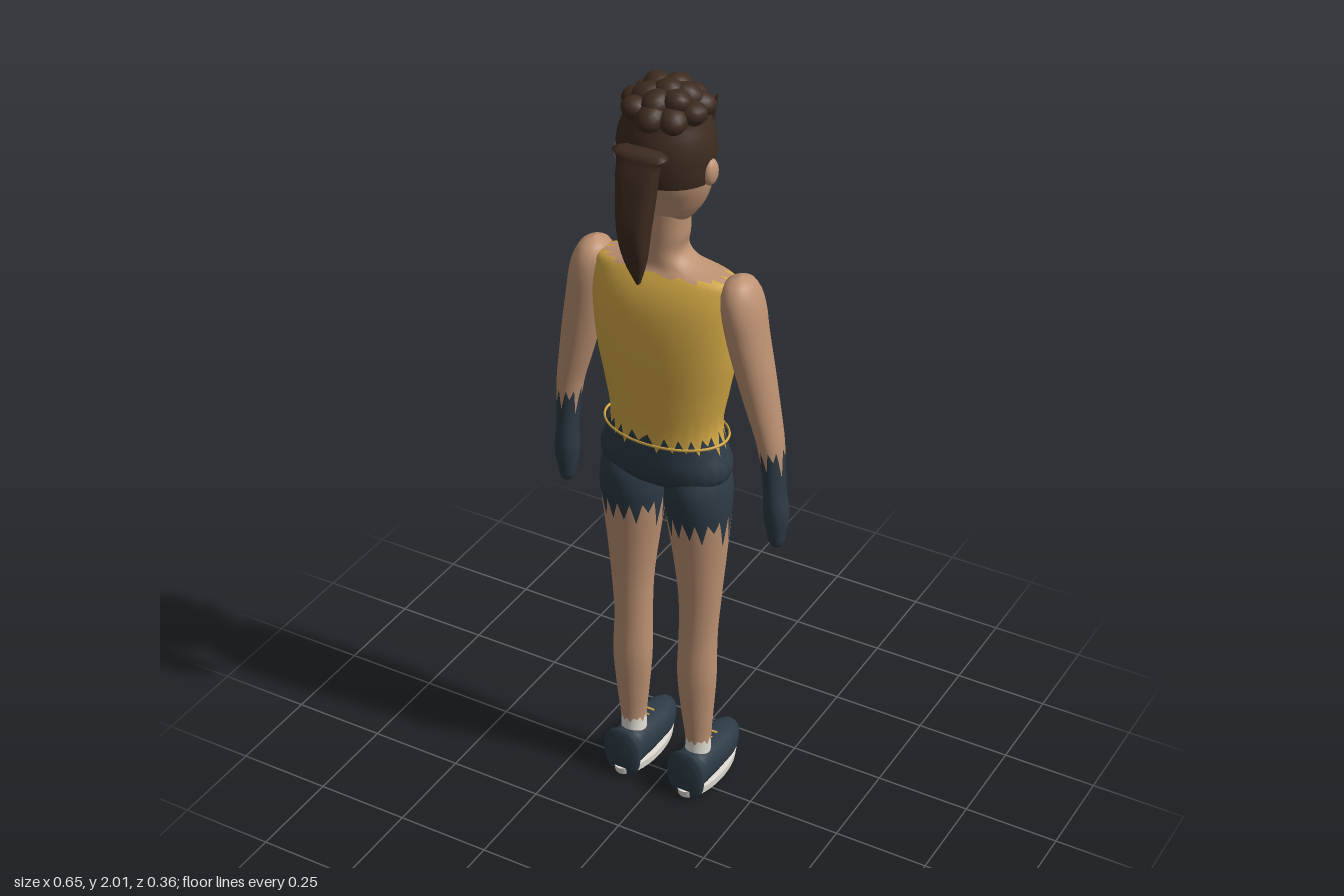
import * as THREE from 'three';

const mat = (name, color, side = THREE.FrontSide) => {
  const m = new THREE.MeshStandardMaterial({ color, side });
  m.name = name;
  return m;
};
const TAU = Math.PI * 2;

// Builds a smooth closed skin through sections [y, cx, cz, rx, rz], between two edges that vary with angle
function loft(sections, lo, hi, { n = 2, rows = 26, segs = 96 } = {}) {
  const curve = new THREE.CubicInterpolant(sections.map(s => s[0]), sections.flatMap(s => s.slice(1)), 4);
  const pos = [], index = [];
  const bend = v => Math.sign(v) * Math.abs(v) ** (2 / n);
  for (let j = 0; j <= rows; j++) {
    const t = 0.5 - 0.5 * Math.cos(Math.PI * j / rows);
    for (let i = 0; i < segs; i++) {
      const a = TAU * i / segs, y0 = lo(a), y = y0 + (hi(a) - y0) * t;
      const [cx, cz, rx, rz] = curve.evaluate(y);
      pos.push(cx + Math.max(rx, 0) * bend(Math.cos(a)), y, cz + Math.max(rz, 0) * bend(Math.sin(a)));
      if (j < rows) {
        const p = j * segs + i, q = j * segs + (i + 1) % segs;
        index.push(p, p + segs, q, q, p + segs, q + segs);
      }
    }
  }
  const g = new THREE.BufferGeometry();
  g.setAttribute('position', new THREE.Float32BufferAttribute(pos, 3));
  g.setIndex(index);
  g.computeVertexNormals();
  return g;
}
const at = y => () => y;

// Ragged edge: teeth of uneven depth around a height
const ragged = (y, teeth, depth) => a => {
  const t = a / TAU * teeth + 1e-6, k = Math.floor(t) % teeth;
  const h = Math.abs(Math.sin((k + 1) * 12.9898) * 43758.5453) % 1;
  return y - depth * (0.3 + 0.7 * h) * (1 - Math.abs(2 * (t - Math.floor(t)) - 1));
};

export function createModel() {
  const skin = mat('skin', 0xbe9273), yellow = mat('yellow cloth', 0xd3a845), navy = mat('navy cloth', 0x2d3a45);
  const brown = mat('brown hair', 0x3d2b20, THREE.DoubleSide), white = mat('white', 0xe4e0d8), black = mat('black', 0x15120f);
  const model = new THREE.Group();
  const add = (name, geo, material, p = [0, 0, 0], scale = [1, 1, 1], rot = [0, 0, 0]) => {
    const m = new THREE.Mesh(geo, material);
    m.name = name;
    m.position.set(...p);
    m.scale.set(...scale);
    m.rotation.set(...rot);
    model.add(m);
    return m;
  };

  // Trunk: shorts, shirt and neck share one form
  const trunk = [
    [0.925, 0, 0, 0, 0], [0.935, 0, 0, 0.09, 0.05], [0.96, 0, 0, 0.155, 0.085], [1.0, 0, 0, 0.173, 0.098],
    [1.05, 0, 0, 0.156, 0.096], [1.1, 0, 0, 0.143, 0.094], [1.2, 0, -0.002, 0.158, 0.102], [1.3, 0, 0, 0.178, 0.106],
    [1.4, 0, 0, 0.188, 0.105], [1.46, 0, 0, 0.19, 0.096], [1.5, 0, 0, 0.186, 0.081], [1.525, 0, 0, 0.172, 0.066],
    [1.538, 0, 0, 0.105, 0.058], [1.56, 0, 0, 0.06, 0.055], [1.62, 0, 0, 0.055, 0.054], [1.72, 0, 0, 0.06, 0.056],
  ];
  const waist = ragged(1.1, 24, 0.06), neckline = ragged(1.531, 16, 0.012);
  const round = { n: 2.3 };
  add('shortsHips', loft(trunk, at(0.925), waist, round), navy);
  add('shirt', loft(trunk, waist, neckline, round), yellow);
  add('neck', loft(trunk, neckline, at(1.72), round), skin);
  const belt = new THREE.TorusGeometry(1, 0.02, 8, 64).rotateX(Math.PI / 2);
  add('belt', belt, yellow, [0, 1.08, 0], [0.163, 0.2, 0.106]);

  for (const s of [1, -1]) {
    const side = s > 0 ? 'left' : 'right';
    const mirror = list => list.map(([y, cx, ...r]) => [y, s * cx, ...r]);

    // Arm and glove
    const arm = mirror([
      [0.805, 0.297, -0.018, 0, 0], [0.815, 0.297, -0.018, 0.013, 0.014], [0.85, 0.296, -0.018, 0.023, 0.026],
      [0.91, 0.295, -0.016, 0.031, 0.034], [0.97, 0.291, -0.014, 0.027, 0.034], [1.05, 0.285, -0.012, 0.029, 0.035],
      [1.12, 0.276, -0.01, 0.033, 0.041], [1.2, 0.258, -0.007, 0.04, 0.047], [1.3, 0.236, -0.003, 0.047, 0.054],
      [1.4, 0.215, 0, 0.05, 0.061], [1.47, 0.203, 0, 0.05, 0.064], [1.515, 0.196, 0, 0.041, 0.052],
      [1.538, 0.195, 0, 0.022, 0.028], [1.546, 0.195, 0, 0, 0],
    ]);
    const cuff = ragged(1.1, 10, 0.085);
    add(side + 'Glove', loft(arm, at(0.805), cuff), navy);
    add(side + 'Arm', loft(arm, cuff, at(1.546)), skin);

    // Leg, shorts leg and sock
    const leg = mirror([
      [0.08, 0.095, 0.004, 0.033, 0.036], [0.15, 0.096, 0.004, 0.033, 0.036], [0.24, 0.095, 0.008, 0.042, 0.041],
      [0.36, 0.094, 0.01, 0.052, 0.046], [0.48, 0.094, 0.005, 0.05, 0.046], [0.6, 0.097, 0.002, 0.055, 0.052],
      [0.72, 0.095, 0.001, 0.067, 0.064], [0.84, 0.092, 0.002, 0.08, 0.08], [0.9, 0.091, 0.002, 0.084, 0.089],
      [0.95, 0.091, 0, 0.08, 0.09], [0.99, 0.09, 0, 0.07, 0.075],
    ]);
    const hem = ragged(0.865, 16, 0.09), sockTop = ragged(0.158, 12, 0.02);
    add(side + 'Sock', loft(leg, at(0.08), sockTop), white);
    add(side + 'Leg', loft(leg, sockTop, hem), skin);
    add(side + 'ShortsLeg', loft(leg, hem, at(0.99)), navy);

    // Shoe, lofted from heel to toe and laid flat
    const shoe = loft([
      [-0.083, 0, 0.062, 0, 0], [-0.08, 0, 0.063, 0.028, 0.042], [-0.05, 0, 0.066, 0.046, 0.052],
      [0, 0, 0.064, 0.05, 0.055], [0.06, 0, 0.06, 0.052, 0.05], [0.12, 0, 0.055, 0.048, 0.046],
      [0.165, 0, 0.053, 0.03, 0.036], [0.177, 0, 0.052, 0.018, 0.024], [0.18, 0, 0.052, 0, 0],
    ], at(-0.083), at(0.18), { n: 2.3, segs: 40 }).rotateX(-Math.PI / 2);
    add(side + 'Shoe', shoe, navy, [s * 0.095, 0, 0]);
    add(side + 'Sole', new THREE.CylinderGeometry(1, 0.96, 0.022, 40), white, [s * 0.095, 0.011, -0.045], [0.054, 1, 0.132]);
    for (const z of [-0.05, -0.075]) {
      add(side + 'Lace', new THREE.BoxGeometry(0.026, 0.005, 0.006), yellow, [s * 0.095, 0.061 - z * -0.06 + 0.051, z]);
    }

    // Ear
    add(side + 'Ear', new THREE.SphereGeometry(1, 16, 12), skin, [s * 0.116, 1.795, 0.004], [0.017, 0.033, 0.024]);
  }

  // Head
  const head = [
    [1.635, 0, -0.012, 0, 0], [1.645, 0, -0.012, 0.036, 0.042], [1.68, 0, -0.012, 0.075, 0.068], [1.72, 0, -0.01, 0.097, 0.084],
    [1.76, 0, -0.004, 0.108, 0.097], [1.81, 0, 0, 0.112, 0.102], [1.86, 0, 0, 0.109, 0.102],
    [1.91, 0, 0, 0.092, 0.088], [1.945, 0, 0, 0.06, 0.06], [1.96, 0, 0, 0, 0],
  ];
  add('head', loft(head, at(1.635), at(1.96)), skin);
  add('nose', new THREE.ConeGeometry(0.02, 0.04, 16), skin, [0, 1.765, -0.112], [1, 1, 1], [-Math.PI / 2, 0, 0]);

  // Face details sit on the surface of the head
  const headCurve = new THREE.CubicInterpolant(head.map(s => s[0]), head.flatMap(s => s.slice(1)), 4);
  const faceMark = (name, x, y, w, h, tilt = 0) => {
    const [, cz, rx, rz] = headCurve.evaluate(y);
    const z = cz - rz * Math.sqrt(1 - (x / rx) ** 2);
    add(name, new THREE.SphereGeometry(1, 12, 8), black, [x, y, z], [w, h, 0.004], [0, -Math.asin(x / rx), tilt]);
  };
  for (const s of [1, -1]) {
    faceMark('eyebrow', s * 0.046, 1.834, 0.021, 0.004, -s * 0.15);
    faceMark('eyelid', s * 0.045, 1.807, 0.016, 0.003);
    faceMark('pupil', s * 0.044, 1.798, 0.006, 0.008);
  }
  faceMark('mouth', 0, 1.722, 0.024, 0.003);
  faceMark('lowerLip', 0, 1.708, 0.012, 0.0025);

  // Hair cap: low and level behind the ears, rising to the forehead
  const hairline = a => {
    const z = Math.sin(a);
    return z > 0.25 ? 1.77 : z > -0.25 ? 1.77 + (0.25 - z) * 0.1 : 1.82 - (z + 0.25) * 0.055;
  };
  const cap = head.map(([y, cx, cz, rx, rz]) => [y > 1.94 ? y + 0.012 : y, cx, cz, rx + (rx ? 0.007 : 0), rz + (rz ? 0.007 : 0)]);
  add('hairCap', loft(cap, hairline, at(1.972)), brown);

  // Ponytail: wide at the top, arching back and tapering to its tip
  add('ponytail', loft([
    [1.535, 0, 0.131, 0.004, 0.007], [1.6, 0, 0.143, 0.025, 0.022], [1.67, 0, 0.15, 0.036, 0.033],
    [1.76, 0, 0.142, 0.047, 0.03], [1.85, 0, 0.125, 0.054, 0.021], [1.87, 0, 0.115, 0.054, 0.018], [1.875, 0, 0.11, 0, 0],
  ], at(1.535), at(1.875), { n: 3, segs: 32 }), brown);

  // Piled curls on the crown
  const curl = new THREE.SphereGeometry(1, 14, 10);
  const curls = (count, radius, y, r, turn) => {
    for (let i = 0; i < count; i++) {
      const a = TAU * i / count + turn;
      add('curl', curl, brown, [0.005 + radius * Math.cos(a), y + 0.005 * Math.sin(i * 5), 0.005 + radius * Math.sin(a)],
        [r * 1.15, r * 0.85, r], [0.3 * Math.sin(i), -a, 0.3 * Math.cos(i * 2)]);
    }
  };
  curls(9, 0.072, 1.937, 0.034, 0.2);
  curls(6, 0.045, 1.963, 0.034, 0.6);
  curls(1, 0, 1.972, 0.033, 0);

  // Loose locks at the temples
  add('rightLock', curl, brown, [-0.078, 1.925, -0.055], [0.025, 0.032, 0.05], [0, -0.3, 0.3]);
  add('leftLock', new THREE.ConeGeometry(0.028, 0.11, 12), brown, [0.083, 1.92, -0.06], [0.7, 1, 1.2], [0.25, 0, -0.45]);
  add('fringe', curl, brown, [0.045, 1.91, -0.083], [0.04, 0.03, 0.022], [0, -0.4, -0.3]);

  return model;
}
